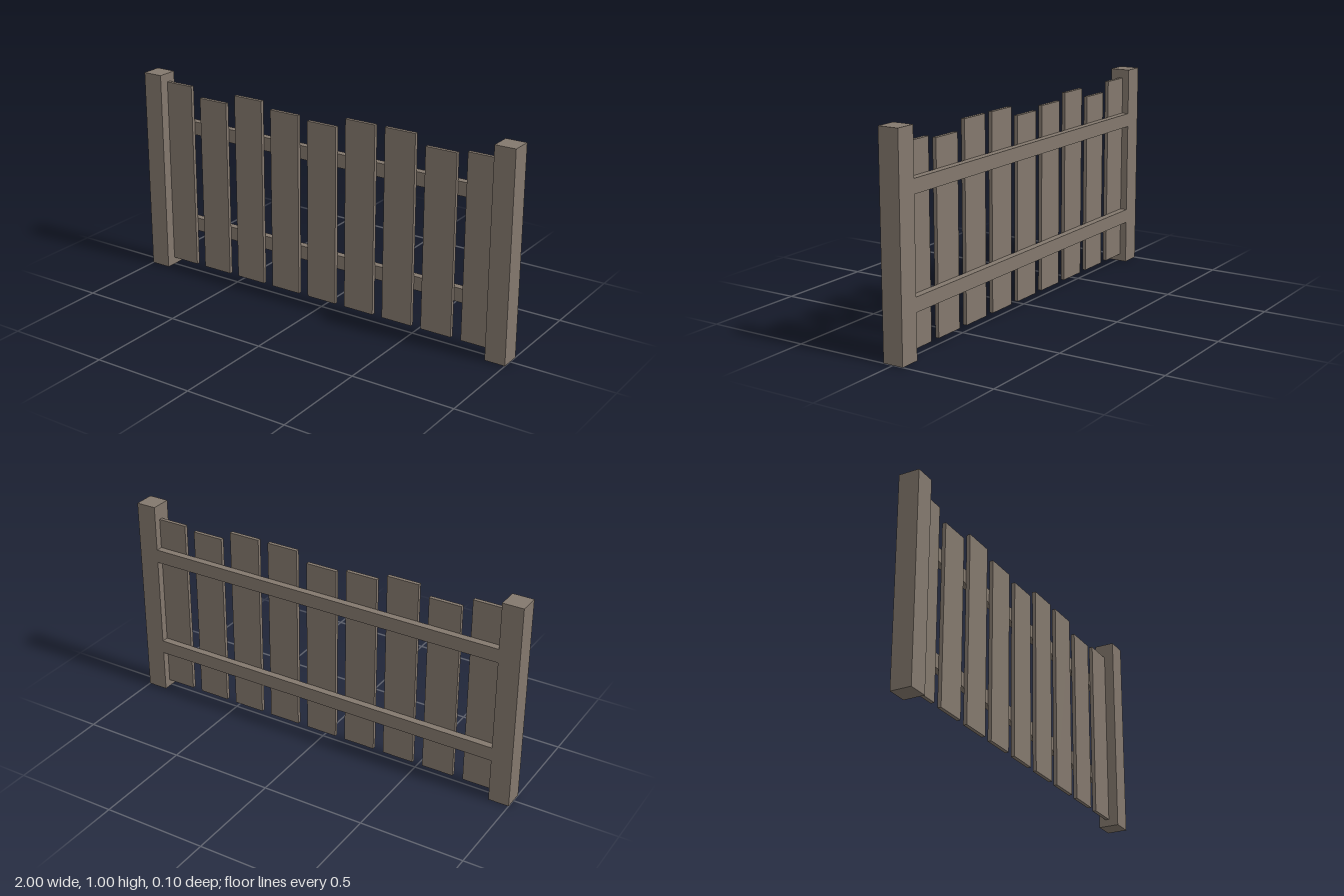
import * as THREE from 'three';

export function createModel() {
  const fence = new THREE.Group();
  fence.name = 'fencePanel';
  const wood = new THREE.MeshStandardMaterial({ color: 0x83786d });
  wood.name = 'weatheredWood';

  // Box given by its lower and upper corners
  function board(name, [x0, y0, z0], [x1, y1, z1]) {
    const mesh = new THREE.Mesh(new THREE.BoxGeometry(x1 - x0, y1 - y0, z1 - z0), wood);
    mesh.position.set((x0 + x1) / 2, (y0 + y1) / 2, (z0 + z1) / 2);
    mesh.name = name;
    fence.add(mesh);
  }

  // End posts
  board('rightPost', [-1, 0, -0.05], [-0.9, 1, 0.05]);
  board('leftPost', [0.9, 0, -0.05], [1, 1, 0.05]);

  // Horizontal rails behind the slats
  board('lowerRail', [-0.9, 0.21, -0.05], [0.9, 0.277, -0.016]);
  board('upperRail', [-0.9, 0.712, -0.05], [0.9, 0.778, -0.016]);

  // Uneven vertical slats, listed by top height from -x to +x
  const tops = [0.958, 0.91, 0.958, 0.926, 0.91, 0.958, 0.958, 0.91, 0.926];
  const halfWidth = 0.078, spacing = 0.2075;
  tops.forEach((top, i) => {
    const x = (i - 4) * spacing;
    board(`slat${i + 1}`, [x - halfWidth, 0.035, -0.016], [x + halfWidth, top, 0.002]);
  });

  return fence;
}
